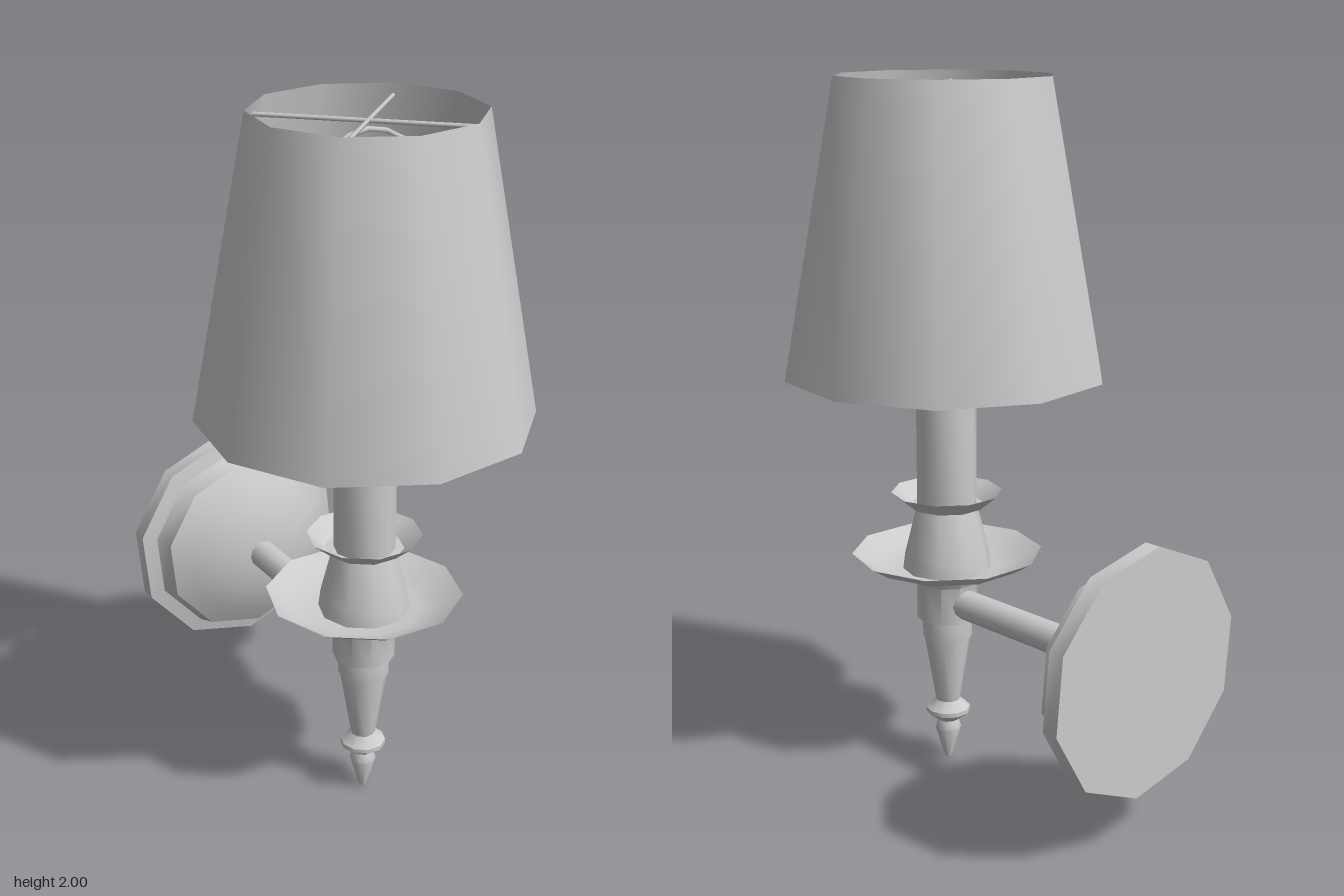
import * as THREE from 'three';
import { toCreasedNormals } from 'three/addons/utils/BufferGeometryUtils.js';

const solid = new THREE.MeshStandardMaterial({ color: 0xcccccc });
const thin = new THREE.MeshStandardMaterial({ color: 0xcccccc, side: THREE.DoubleSide });
const SIDES = 10;

function mesh(name, geometry, material = solid) {
  const m = new THREE.Mesh(geometry, material);
  m.name = name;
  return m;
}

// Ten-sided turned part; profile is [radius, height] from bottom to top
function turned(name, profile, material = solid, start = Math.PI / 2, sides = SIDES) {
  const points = profile.map(([r, y]) => new THREE.Vector2(r, y));
  return mesh(name, toCreasedNormals(new THREE.LatheGeometry(points, sides, start), 0.7), material);
}

// Straight round bar between two points
function bar(name, a, b, radius, sides) {
  const path = new THREE.LineCurve3(new THREE.Vector3(...a), new THREE.Vector3(...b));
  return mesh(name, new THREE.TubeGeometry(path, 1, radius, sides));
}

export function createModel() {
  const model = new THREE.Group();
  model.name = 'wallLamp';

  // Everything around the vertical lamp axis
  const lamp = new THREE.Group();
  lamp.name = 'lamp';
  lamp.position.z = 0.165;
  model.add(lamp);

  // Pointed finial, tapered stem and arm socket
  lamp.add(turned('finial', [
    [0.001, 0], [0.01, 0.005], [0.038, 0.1], [0.03, 0.125], [0.035, 0.13],
    [0.065, 0.152], [0.065, 0.165], [0.035, 0.19], [0.03, 0.2],
  ]));
  lamp.add(turned('stem', [
    [0.001, 0.19], [0.035, 0.19], [0.068, 0.39], [0.072, 0.39], [0.072, 0.445],
    [0.088, 0.45], [0.088, 0.56], [0.12, 0.605], [0.001, 0.605],
  ]));

  // Drip dishes with the cone between them
  lamp.add(turned('largeDish', [[0.001, 0.6], [0.16, 0.6], [0.22, 0.618], [0.275, 0.652]], thin));
  lamp.add(turned('cone', [[0.128, 0.602], [0.122, 0.65], [0.087, 0.79], [0.001, 0.79]]));
  lamp.add(turned('smallDish', [[0.001, 0.79], [0.11, 0.79], [0.16, 0.832]], thin));

  // Candle tube and bulb
  lamp.add(turned('candle', [[0.001, 0.785], [0.086, 0.785], [0.086, 1.163], [0.001, 1.163]]));
  lamp.add(turned('bulb', [
    [0.032, 1.16], [0.032, 1.2], [0.065, 1.24], [0.067, 1.4], [0.09, 1.46], [0.102, 1.53],
    [0.096, 1.58], [0.075, 1.62], [0.04, 1.65], [0.001, 1.66],
  ], solid, 0, 12));

  // Wire harp over the bulb
  const half = [[0.08, 1.18], [0.15, 1.35], [0.2, 1.54], [0.195, 1.74], [0.12, 1.9]];
  const harpPoints = [
    ...half.map(([x, y]) => new THREE.Vector3(-x, y, 0)),
    new THREE.Vector3(0, 1.95, 0),
    ...half.reverse().map(([x, y]) => new THREE.Vector3(x, y, 0)),
  ];
  lamp.add(mesh('harp', new THREE.TubeGeometry(new THREE.CatmullRomCurve3(harpPoints), 32, 0.007, 6)));
  lamp.add(bar('harpSaddle', [-0.085, 1.18, 0], [0.085, 1.18, 0], 0.007, 6));

  // Crossed wires holding the shade
  const d = 0.21;
  for (const s of [-1, 1]) {
    lamp.add(bar('shadeSpoke', [-d, 1.97, -d * s], [d, 1.97, d * s], 0.006, 6));
  }

  // Open tapered shade
  lamp.add(turned('shade', [[0.458, 1.18], [0.306, 2]], thin, -0.155));

  // Arm to the wall
  model.add(bar('arm', [0, 0.505, -0.45], [0, 0.505, 0.12], 0.043, 12));

  // Domed wall plate facing forward
  const plate = turned('wallPlate', [
    [0.001, 0], [0.343, 0], [0.343, 0.048], [0.298, 0.058], [0.28, 0.115],
    [0.22, 0.148], [0.145, 0.182], [0.05, 0.2], [0.001, 0.2],
  ], solid, THREE.MathUtils.degToRad(5.4));
  plate.rotation.x = Math.PI / 2;
  plate.position.set(0, 0.505, -0.618);
  model.add(plate);

  return model;
}
